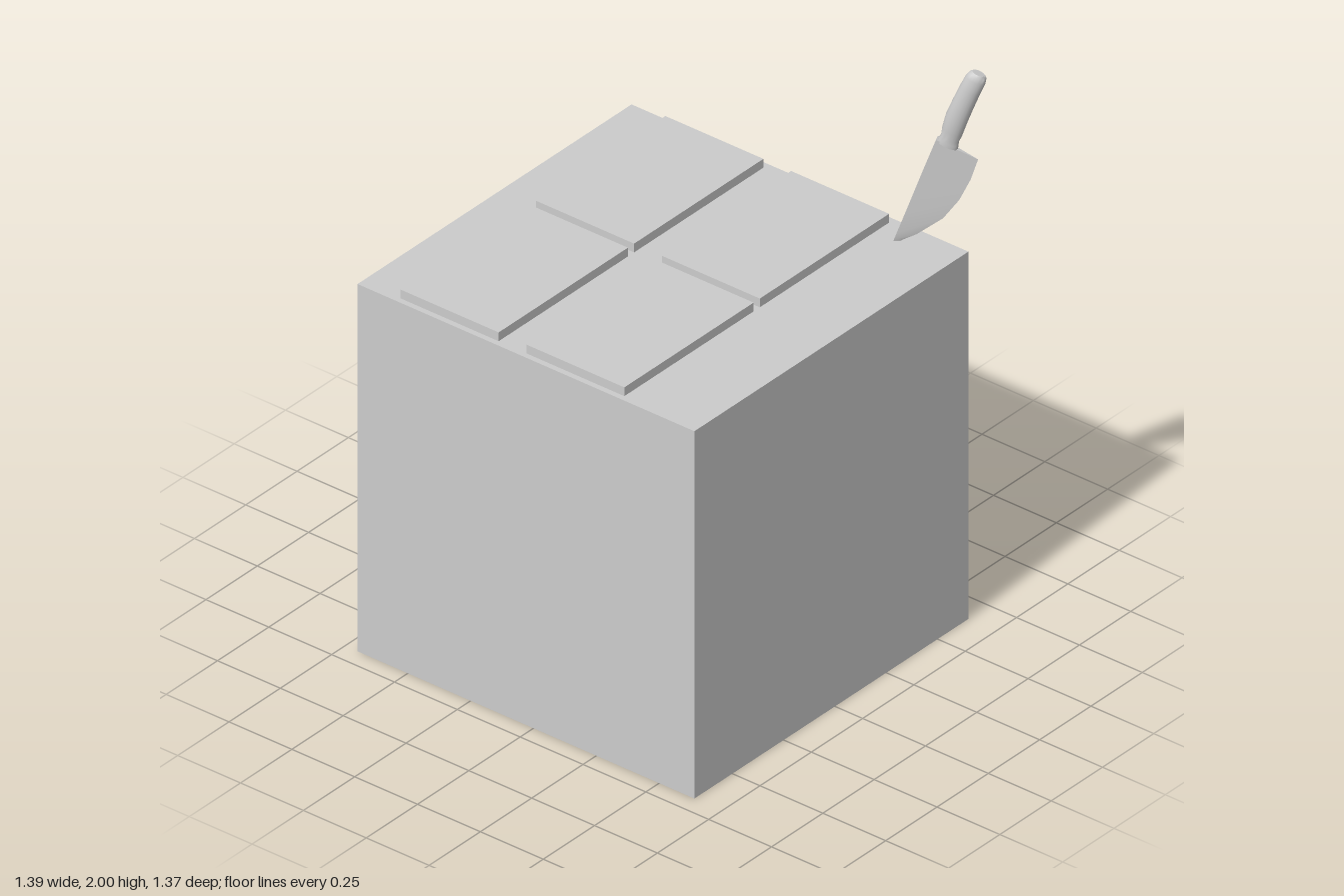
import * as THREE from 'three';
import { toCreasedNormals } from 'three/addons/utils/BufferGeometryUtils.js';

const material = new THREE.MeshStandardMaterial({ color: 0xcccccc });

function addMesh(parent, geometry, name) {
  const mesh = new THREE.Mesh(geometry, material);
  mesh.name = name;
  parent.add(mesh);
  return mesh;
}

// Box given by its lower and upper corners
function addBox(parent, name, [x0, y0, z0], [x1, y1, z1]) {
  const mesh = addMesh(parent, new THREE.BoxGeometry(x1 - x0, y1 - y0, z1 - z0), name);
  mesh.position.set((x0 + x1) / 2, (y0 + y1) / 2, (z0 + z1) / 2);
}

// Closed solid through rings of points, stacked upwards
function loft(rings, crease) {
  const n = rings[0].length;
  const index = [];
  for (let r = 0; r < rings.length - 1; r++) {
    for (let i = 0; i < n; i++) {
      const a = r * n + i, b = r * n + (i + 1) % n;
      index.push(a, b, b + n, a, b + n, a + n);
    }
  }
  const top = (rings.length - 1) * n;
  for (let i = 1; i < n - 1; i++) {
    index.push(0, i + 1, i, top, top + i, top + i + 1);
  }
  const geometry = new THREE.BufferGeometry();
  geometry.setAttribute('position', new THREE.Float32BufferAttribute(rings.flat(2), 3));
  geometry.setIndex(index);
  return toCreasedNormals(geometry, crease);
}

function createKnife() {
  const knife = new THREE.Group();
  knife.name = 'knife';
  const turn = 0.422;
  const tipX = 0.42;
  const along = (x) => (x - tipX) / Math.cos(turn);

  // Blade: wedge sections as spine x, spine y, edge x, edge y, half thickness
  const sections = [
    [0.416, 1.325, 0.422, 1.325, 0.004],
    [0.421, 1.345, 0.444, 1.345, 0.006],
    [0.429, 1.37, 0.486, 1.373, 0.008],
    [0.453, 1.445, 0.563, 1.445, 0.010],
    [0.475, 1.515, 0.61, 1.52, 0.011],
    [0.508, 1.62, 0.643, 1.60, 0.012],
    [0.545, 1.735, 0.665, 1.678, 0.013],
  ];
  const blade = sections.map(([sx, sy, ex, ey, t]) => [
    [along(ex), ey, 0], [along(sx), sy, -t], [along(sx), sy, t],
  ]);
  addMesh(knife, loft(blade, 0.4), 'blade');

  // Handle: oval sections as centre x, y, half width, half thickness
  const ovals = [
    [0.576, 1.715, 0.034, 0.018],
    [0.579, 1.729, 0.034, 0.019],
    [0.583, 1.742, 0.030, 0.019],
    [0.590, 1.77, 0.034, 0.024],
    [0.603, 1.82, 0.036, 0.026],
    [0.622, 1.875, 0.035, 0.026],
    [0.642, 1.93, 0.034, 0.025],
    [0.658, 1.97, 0.033, 0.023],
    [0.664, 1.985, 0.029, 0.020],
    [0.666, 1.993, 0.021, 0.014],
  ];
  const sides = 20;
  const handle = ovals.map(([x, y, w, t]) => Array.from({ length: sides }, (_, i) => {
    const a = (i / sides) * Math.PI * 2;
    const d = w * Math.cos(a);
    return [along(x) + d * 0.94, y - d * 0.34, -t * Math.sin(a)];
  }));
  addMesh(knife, loft(handle, 0.8), 'handle');

  knife.position.set(tipX, 0, -0.557);
  knife.rotation.y = turn;
  return knife;
}

export function createModel() {
  const model = new THREE.Group();
  model.name = 'knifeInBlock';

  addBox(model, 'block', [-0.70, 0, -0.65], [0.64, 1.34, 0.685]);

  // Four flat panels on the top
  for (const x of [-0.545, -0.045]) {
    for (const z of [-0.625, 0.035]) {
      addBox(model, 'topPanel', [x, 1.335, z], [x + 0.39, 1.372, z + 0.63]);
    }
  }

  model.add(createKnife());
  return model;
}
